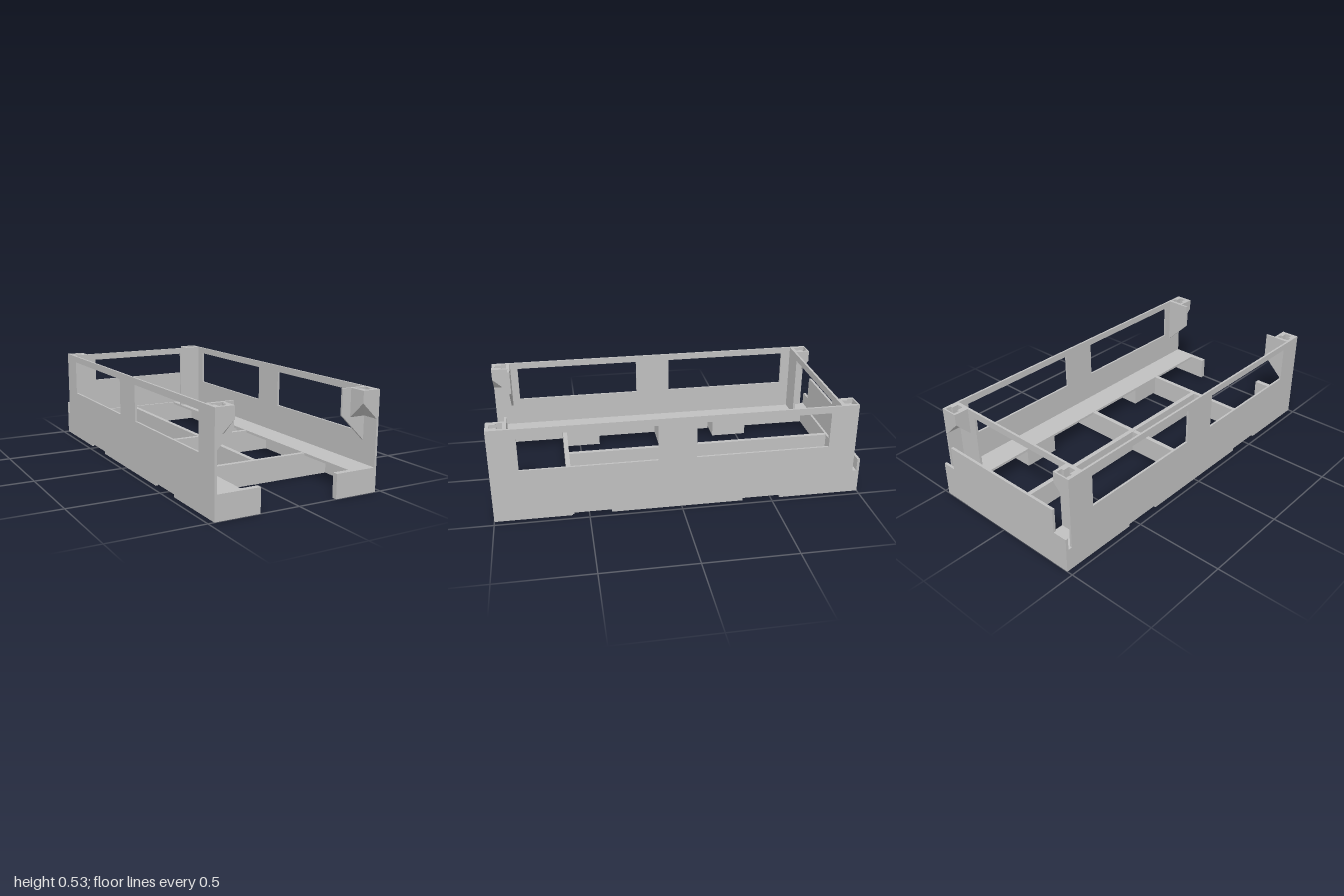
import * as THREE from 'three';

const grey = new THREE.MeshStandardMaterial({ color: 0xbfbfbf });
grey.name = 'plain grey';

const IN = 0.455, OUT = 0.467, STRIP = 0.313, POST = 0.365, DECK = 0.13, TOP = 0.53;

// Box from its minimum and maximum corners
function box(x0, x1, y0, y1, z0, z1) {
  return new THREE.BoxGeometry(x1 - x0, y1 - y0, z1 - z0)
    .translate((x0 + x1) / 2, (y0 + y1) / 2, (z0 + z1) / 2);
}

function poly(points, Type = THREE.Shape) {
  return new Type(points.map(([a, b]) => new THREE.Vector2(a, b)));
}

const rect = (a0, a1, b0, b1) => [[a0, b0], [a1, b0], [a1, b1], [a0, b1]];

function extrude(shape, depth) {
  return new THREE.ExtrudeGeometry(shape, { depth, bevelEnabled: false, curveSegments: 16 });
}

// Plan outline (x, -z) raised from y0 to y1
function raise(shape, y0, y1) {
  return extrude(shape, y1 - y0).rotateX(-Math.PI / 2).translate(0, y0, 0);
}

// Reverse triangle order
function flip(geo) {
  const p = geo.attributes.position;
  const a = new THREE.Vector3(), b = new THREE.Vector3();
  for (let i = 0; i < p.count; i += 3) {
    a.fromBufferAttribute(p, i + 1);
    b.fromBufferAttribute(p, i + 2);
    p.setXYZ(i + 1, b.x, b.y, b.z);
    p.setXYZ(i + 2, a.x, a.y, a.z);
  }
  geo.computeVertexNormals();
  return geo;
}

function mirrorX(geo) {
  const g = geo.index ? geo.toNonIndexed() : geo.clone();
  return flip(g.scale(-1, 1, 1));
}

// Corner block whose underside rises from the wall and from the panel to the free corner
function cornerBlock(zPanel, zFree, yTop) {
  const plan = [[POST, zPanel, 0.38], [IN, zPanel, 0.38], [IN, zFree, 0.38], [POST, zFree, 0.467]];
  const verts = [];
  for (const [x, z, y] of plan) verts.push(x, y, z);
  for (const [x, z] of plan) verts.push(x, yTop, z);
  const idx = [0, 1, 3, 1, 2, 3, 4, 7, 5, 5, 7, 6];
  for (let i = 0; i < 4; i++) {
    const j = (i + 1) % 4;
    idx.push(i, i + 4, j, j, i + 4, j + 4);
  }
  const g = new THREE.BufferGeometry();
  g.setAttribute('position', new THREE.Float32BufferAttribute(verts, 3));
  g.setIndex(idx);
  const flat = g.toNonIndexed();
  flat.computeVertexNormals();
  return zFree < zPanel ? flip(flat) : flat;
}

// Top of a corner block with a T-shaped socket
function socket(z0, z1, y0) {
  const s = poly(rect(POST, IN, -z1, -z0));
  const m = z0 + 0.008, n = z0 + 0.04, e = z0 + 0.075;
  s.holes.push(poly([
    [0.381, -m], [0.45, -m], [0.45, -n], [0.436, -n],
    [0.436, -e], [0.396, -e], [0.396, -n], [0.381, -n],
  ], THREE.Path));
  return raise(s, y0, TOP);
}

export function createModel() {
  const root = new THREE.Group();
  root.name = 'openFrameBody';

  const add = (name, geo) => {
    const m = new THREE.Mesh(geo, grey);
    m.name = name;
    root.add(m);
  };
  const pair = (name, geo) => {
    add(name + 'Left', geo);
    add(name + 'Right', mirrorX(geo));
  };

  // Side walls with two windows, a stepped rear edge and two bottom notches
  const wall = poly([
    [-1, 0], [-0.55, 0], [-0.55, 0.015], [-0.34, 0.015], [-0.34, 0],
    [0.38, 0], [0.38, 0.015], [0.59, 0.015], [0.59, 0],
    [1, 0], [1, TOP], [-0.962, TOP], [-0.962, DECK], [-1, DECK],
  ]);
  for (const [a, b] of [[0.125, 0.85], [-0.81, -0.08]])
    wall.holes.push(poly(rect(a, b, 0.292, 0.493), THREE.Path));
  pair('sideWall', extrude(wall, OUT - IN).rotateY(-Math.PI / 2).translate(OUT, 0, 0));

  // Ledges along the walls
  pair('sideLedge', box(STRIP, IN, DECK - 0.014, DECK, -0.985, 0.985));

  // Mounting posts under the ledges, each with two blind screw holes
  for (const [i, z] of [0.485, -0.445].entries()) {
    const s = poly(rect(STRIP, IN, -z - 0.105, -z + 0.105));
    for (const dz of [-0.055, 0.055]) {
      const h = new THREE.Path();
      h.absarc(0.385, -z + dz, 0.024, 0, Math.PI * 2, true);
      s.holes.push(h);
    }
    pair('mountingPad' + i, raise(s, 0.015, 0.06));
    pair('mountingPost' + i, box(STRIP, IN, 0.06, DECK - 0.014, z - 0.105, z + 0.105));
  }

  // Floor beams
  add('centreBeam', box(-0.013, 0.013, 0, DECK, -0.972, 0.58));
  add('middleCrossBeam', box(-IN, IN, 0, DECK - 0.001, -0.014, 0.012));
  add('frontCrossBeam', box(-IN, IN, 0, DECK - 0.001, 0.58, 0.605));

  // Front lips
  pair('frontLip', box(0.22, IN, 0, DECK, 0.97, 1));

  // Back wall: thick sill and stepped thin plate
  add('backSill', box(-IN, IN, 0, DECK, -1, -0.972));
  add('backPlate', extrude(poly([
    [-OUT, DECK], [OUT, DECK], [OUT, 0.2], [0.385, 0.2], [0.385, 0.337],
    [-0.385, 0.337], [-0.385, 0.2], [-OUT, 0.2],
  ]), 0.015).translate(0, 0, -1));

  // Rear bulkhead: two panels joined by a top bar
  pair('rearPanel', box(STRIP, IN, DECK, TOP, -0.879, -0.866));
  add('rearTopBar', box(-STRIP, STRIP, 0.492, TOP, -0.879, -0.866));

  // Front corner panels with a sloping lower edge
  pair('frontPanel', extrude(poly([
    [IN, 0.253], [IN, TOP], [STRIP, TOP], [STRIP, 0.392],
  ]), 0.012).translate(0, 0, 0.893));

  // Corner blocks
  pair('frontCornerBlock', cornerBlock(0.905, 1, 0.48));
  pair('frontCornerSocket', socket(0.905, 1, 0.48));
  pair('rearCornerBlock', cornerBlock(-0.879, -0.962, 0.48));
  pair('rearCornerSocket', socket(-0.962, -0.879, 0.48));

  return root;
}
